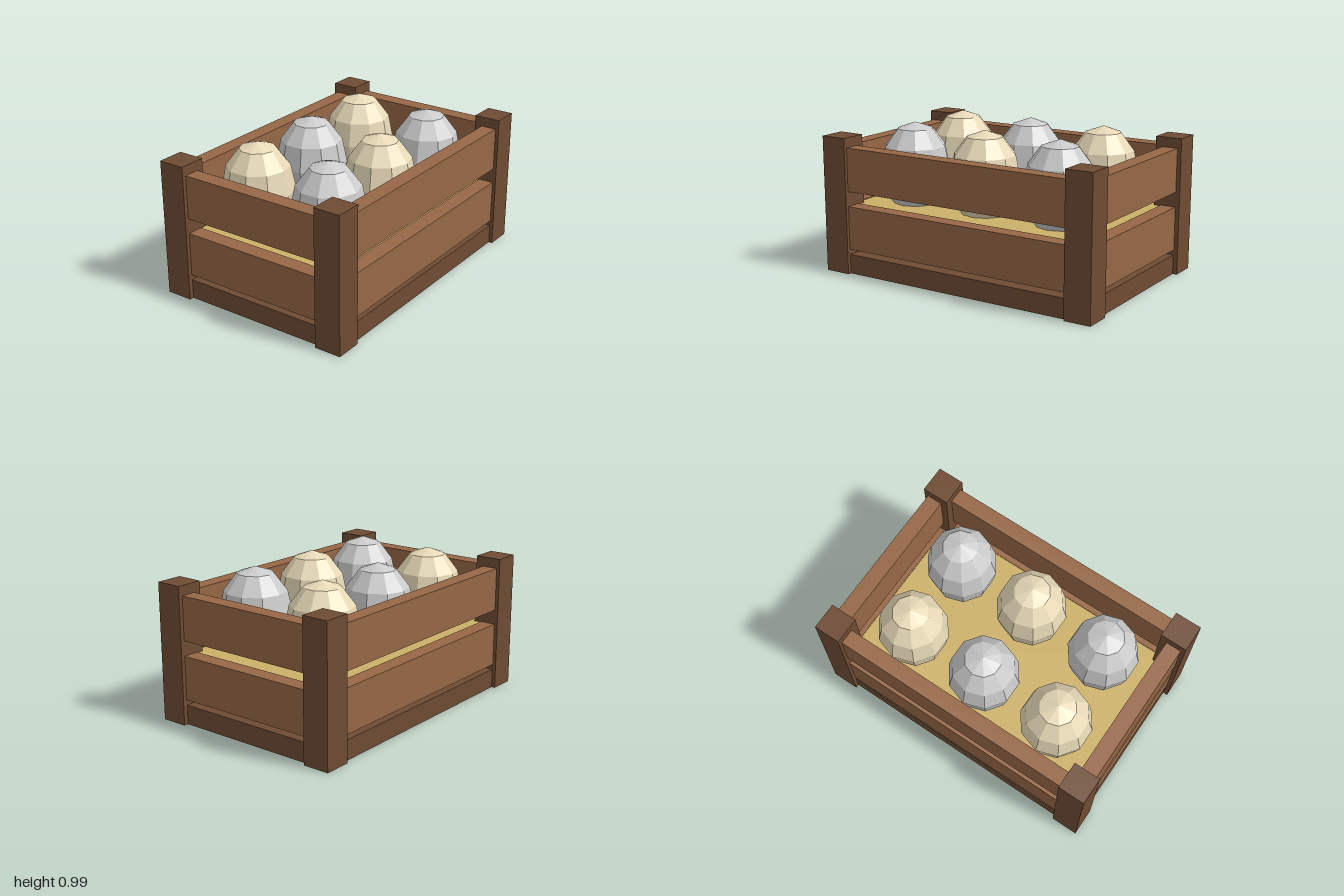
import * as THREE from 'three';

const mat = (color) => new THREE.MeshStandardMaterial({ color, flatShading: true });

export function createModel() {
  const crate = new THREE.Group();
  crate.name = 'eggCrate';

  const darkWood = mat(0x6e4b33);
  const lightWood = mat(0x966745);
  const strawMat = mat(0xcbb067);
  const whiteShell = mat(0xe0e0dc);
  const creamShell = mat(0xe8dab8);

  // Box given by its centre in x and z and its bottom and top heights
  const box = (name, material, w, d, y0, y1, x = 0, z = 0) => {
    const mesh = new THREE.Mesh(new THREE.BoxGeometry(w, y1 - y0, d), material);
    mesh.name = name;
    mesh.position.set(x, (y0 + y1) / 2, z);
    crate.add(mesh);
  };

  // Floor board and straw bedding
  box('floor', darkWood, 1.94, 1.3, 0, 0.13);
  box('straw', strawMat, 1.75, 1.11, 0.13, 0.45);

  // Corner posts
  for (const sx of [-1, 1])
    for (const sz of [-1, 1])
      box('cornerPost', darkWood, 0.18, 0.18, 0, 0.91, sx * 0.91, sz * 0.585);

  // Two tiers of slats on all four sides, ending inside the posts
  for (const [y0, y1] of [[0.165, 0.455], [0.555, 0.845]])
    for (const s of [-1, 1]) {
      box(s > 0 ? 'frontSlat' : 'backSlat', lightWood, 1.8, 0.104, y0, y1, 0, s * 0.6);
      box(s > 0 ? 'leftSlat' : 'rightSlat', lightWood, 0.105, 1.15, y0, y1, s * 0.92, 0);
    }

  // Six faceted eggs with alternating shell colours
  const eggGeometry = new THREE.SphereGeometry(0.235, 10, 6);
  eggGeometry.rotateY(Math.PI / 2);
  eggGeometry.scale(1, 1.333, 1);
  for (let row = 0; row < 2; row++)
    for (let col = 0; col < 3; col++) {
      const egg = new THREE.Mesh(eggGeometry, (row + col) % 2 ? whiteShell : creamShell);
      egg.name = 'egg';
      egg.position.set((col - 1) * 0.552, 0.674, (row - 0.5) * 0.546);
      crate.add(egg);
    }

  return crate;
}
